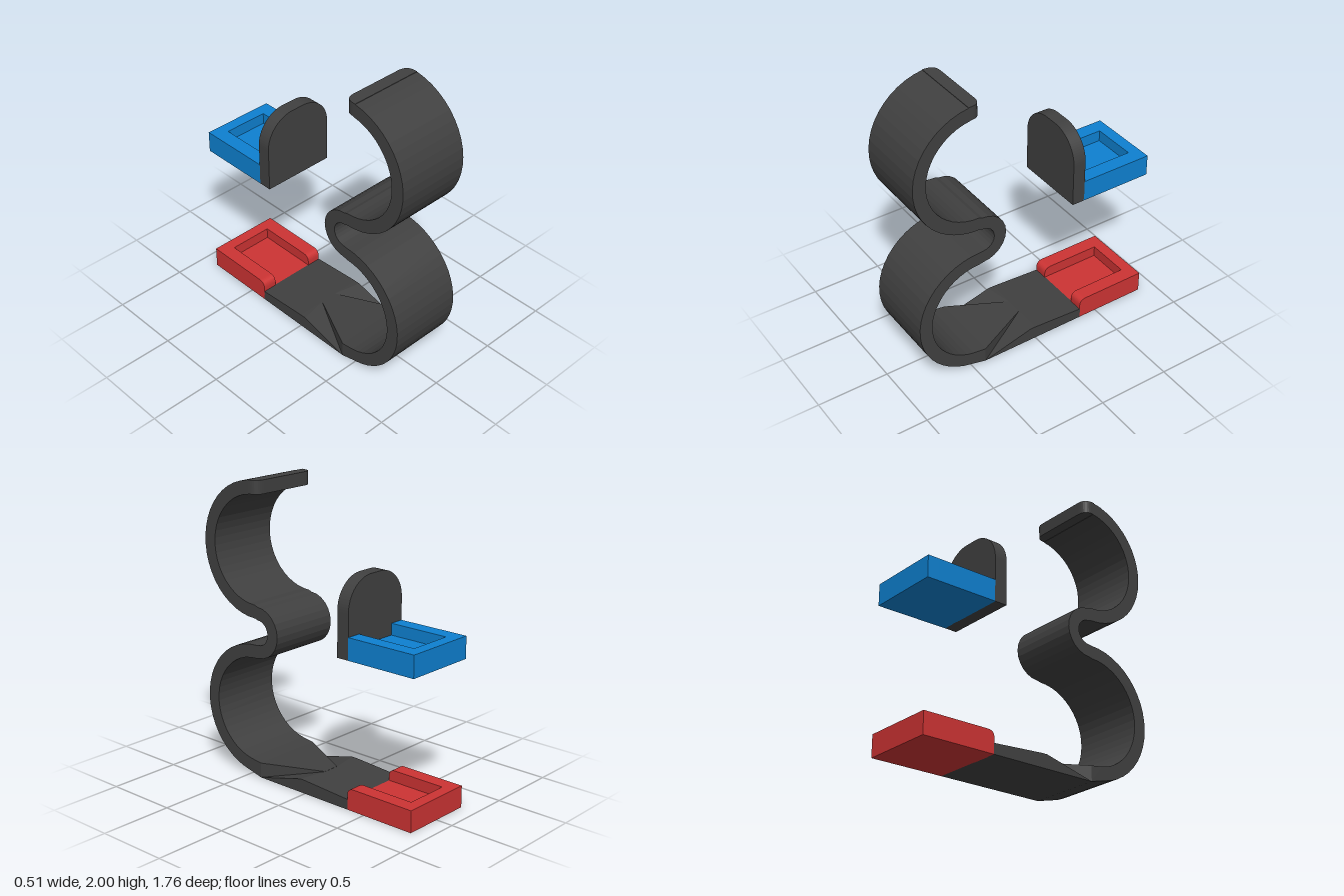
import * as THREE from 'three';
import { ConvexGeometry } from 'three/addons/geometries/ConvexGeometry.js';

const HALF = 0.255; // half width shared by every part
const dark = new THREE.MeshStandardMaterial({ color: 0x404040, flatShading: true });
const red = new THREE.MeshStandardMaterial({ color: 0xcc3333, flatShading: true });
const blue = new THREE.MeshStandardMaterial({ color: 0x0e80d0, flatShading: true });

function named(name, geometry, material) {
  const mesh = new THREE.Mesh(geometry, material);
  mesh.name = name;
  return mesh;
}

// Extrude a (z, y) side profile across x, from x0 to x1
function sideExtrude(shape, x0, x1) {
  const g = new THREE.ExtrudeGeometry(shape, { depth: x1 - x0, bevelEnabled: false, curveSegments: 8 });
  return g.rotateY(-Math.PI / 2).translate(x1, 0, 0);
}

// Points of an arc in the side plane, angles in degrees
function arc(z, y, r, from, to, n) {
  return Array.from({ length: n + 1 }, (_, i) => {
    const a = THREE.MathUtils.degToRad(from + (to - from) * i / n);
    return new THREE.Vector2(z + r * Math.cos(a), y + r * Math.sin(a));
  });
}

// Double-lobed strap: one edge down, the other edge back up
function strapGeometry() {
  const edge = (lobe, neck) => [
    ...arc(0.43, 1.55, lobe, 83, -90, 22),
    ...arc(0.405, 1.008, neck, 90, 270, 12),
    ...arc(0.43, 0.47, lobe, 90, -80, 22),
  ];
  const outer = [...edge(0.45, 0.085), new THREE.Vector2(0.4, 0)];
  const inner = [...edge(0.36, 0.172), new THREE.Vector2(0.4, 0.103)];
  return sideExtrude(new THREE.Shape([...outer, ...inner.reverse()]), -HALF, HALF);
}

// Free end of the strap, with two corners rounded in plan
function strapEndGeometry() {
  const r = 0.07, s = new THREE.Shape();
  s.moveTo(-HALF, 0.485);
  s.lineTo(-HALF, 0.4 + r);
  s.quadraticCurveTo(-HALF, 0.4, -HALF + r, 0.4);
  s.lineTo(HALF - r, 0.4);
  s.quadraticCurveTo(HALF, 0.4, HALF, 0.4 + r);
  s.lineTo(HALF, 0.485);
  const g = new THREE.ExtrudeGeometry(s, { depth: 0.09, bevelEnabled: false, curveSegments: 8 });
  return g.rotateX(Math.PI / 2).translate(0, 2, 0);
}

// Convex solid from [x, y, z] corners
const hull = (points) => new ConvexGeometry(points.map((p) => new THREE.Vector3(...p)));

function buildFoot() {
  const foot = new THREE.Group();
  foot.name = 'foot';
  const slab = [], ridge = [];
  for (const s of [-1, 1]) {
    slab.push([s * HALF, 0, -0.37], [s * HALF, 0.07, -0.37], [s * HALF, 0, 0], [s * HALF, 0.093, 0]);
    ridge.push([s * 0.06, 0, 0], [s * 0.06, 0.094, 0], [s * HALF, 0, 0.4], [s * HALF, 0.103, 0.4]);
    // Wedge falling from the slab to the strap beside the ridge
    foot.add(named('footWedge', hull([
      [s * 0.06, 0, 0], [s * 0.06, 0.093, 0], [s * HALF, 0, 0],
      [s * HALF, 0.093, 0], [s * HALF, 0.093, 0.04], [s * HALF, 0, 0.4],
    ]), dark));
  }
  foot.add(named('footSlab', hull(slab), dark), named('footRidge', hull(ridge), dark));
  return foot;
}

// Tray with a recess that is open to the front
function buildTray(name, material, y, round) {
  const tray = new THREE.Group();
  tray.name = name;
  const front = -0.367, back = -0.88, top = 0.148, floor = 0.07, inner = 0.155;
  const box = (part, w, y0, y1, z0, z1) => {
    const g = new THREE.BoxGeometry(w, y1 - y0, z1 - z0);
    tray.add(named(part, g.translate(0, (y0 + y1) / 2, (z0 + z1) / 2), material));
  };
  box('trayFloor', inner * 2, 0, floor, -0.8, front);
  box('trayBack', HALF * 2, 0, top, back, -0.8);
  const side = new THREE.Shape();
  side.moveTo(-0.8, 0);
  side.lineTo(front, 0);
  side.lineTo(front, top - round);
  if (round) side.quadraticCurveTo(front, top, front - round, top);
  side.lineTo(-0.8, top);
  for (const [x0, x1] of [[-HALF, -inner], [inner, HALF]]) {
    tray.add(named('traySide', sideExtrude(side, x0, x1), material));
  }
  tray.position.y = y;
  return tray;
}

// Upright panel with a broad rounded top
function panelGeometry() {
  const r = 0.21, y0 = 0.99, y1 = 1.5, s = new THREE.Shape();
  s.moveTo(-HALF, y0);
  s.lineTo(HALF, y0);
  s.lineTo(HALF, y1 - r);
  s.absarc(HALF - r, y1 - r, r, 0, Math.PI / 2, false);
  s.absarc(-HALF + r, y1 - r, r, Math.PI / 2, Math.PI, false);
  const g = new THREE.ExtrudeGeometry(s, { depth: 0.09, bevelEnabled: false, curveSegments: 10 });
  return g.translate(0, 0, -0.37);
}

export function createModel() {
  const model = new THREE.Group();
  model.name = 'doubleHook';
  model.add(
    named('strap', strapGeometry(), dark),
    named('strapEnd', strapEndGeometry(), dark),
    buildFoot(),
    buildTray('lowerTray', red, 0, 0.05),
    buildTray('upperTray', blue, 0.99, 0),
    named('panel', panelGeometry(), dark),
  );
  return model;
}
